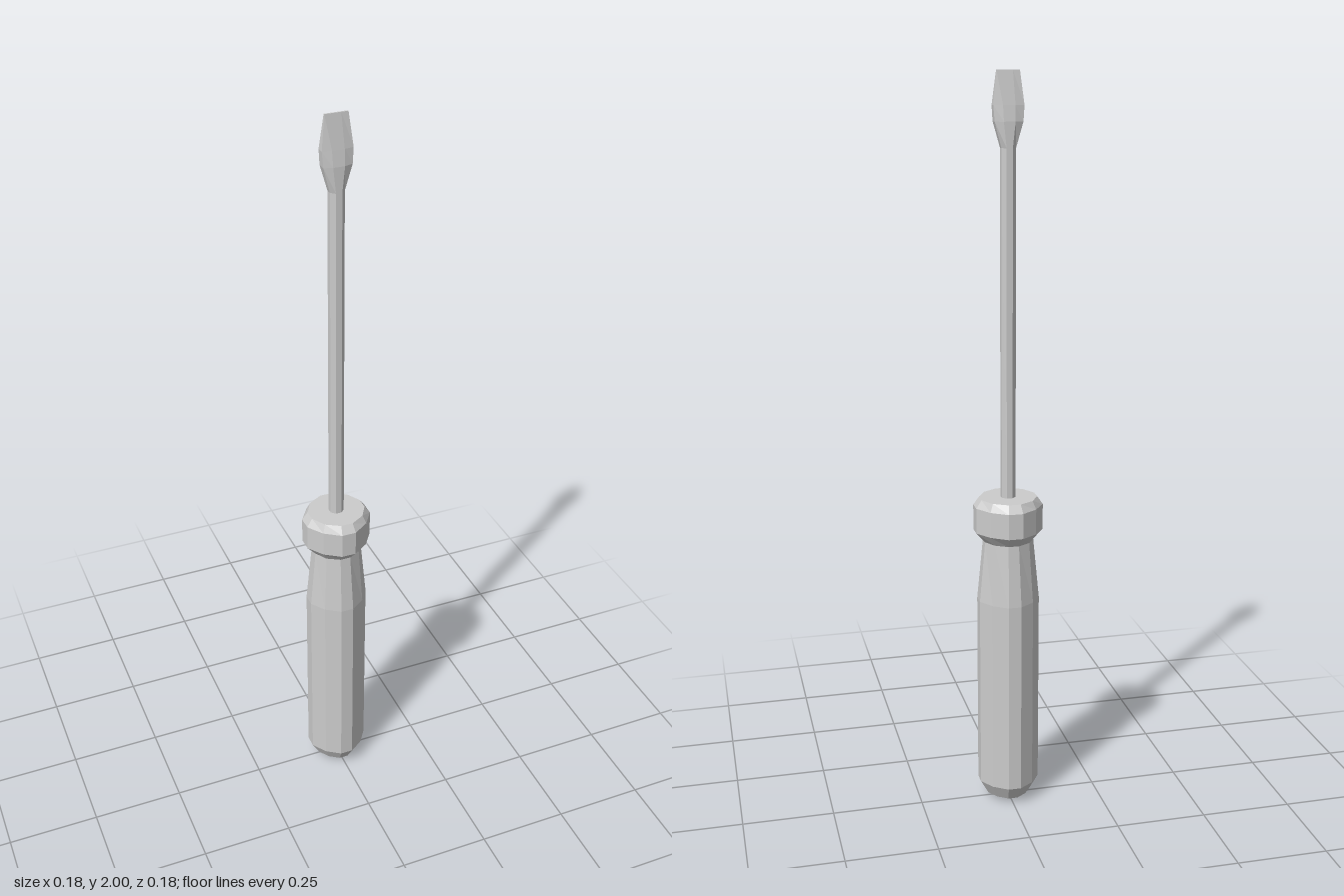
import * as THREE from 'three';

const material = new THREE.MeshStandardMaterial({ color: 0xcccccc, flatShading: true });

// Skin a stack of equal-length rings of [x, z] points, closed at both ends.
function loft(name, rings) {
  const pos = [], n = rings[0].pts.length;
  const at = (r, i) => { const [x, z] = r.pts[i % n]; return [x, r.y, z]; };
  const tri = (a, b, c) => pos.push(...a, ...b, ...c);
  for (let k = 0; k < rings.length - 1; k++) {
    const lo = rings[k], hi = rings[k + 1];
    for (let i = 0; i < n; i++) {
      tri(at(lo, i), at(hi, i), at(hi, i + 1));
      tri(at(lo, i), at(hi, i + 1), at(lo, i + 1));
    }
  }
  const first = rings[0], last = rings[rings.length - 1];
  for (let i = 0; i < n; i++) {
    tri([0, first.y, 0], at(first, i), at(first, i + 1));
    tri([0, last.y, 0], at(last, i + 1), at(last, i));
  }
  const geometry = new THREE.BufferGeometry();
  geometry.setAttribute('position', new THREE.Float32BufferAttribute(pos, 3));
  geometry.computeVertexNormals();
  const mesh = new THREE.Mesh(geometry, material);
  mesh.name = name;
  return mesh;
}

// Twelve-sided grip section: a flat on each axis and a softer corner between.
function gripRing(y, r, diagonal = 0.96) {
  const pts = [];
  for (let q = 0; q < 4; q++) {
    for (const [deg, s] of [[-12, 1.02], [12, 1.02], [45, diagonal]]) {
      const t = THREE.MathUtils.degToRad(q * 90 + deg);
      pts.push([r * s * Math.cos(t), r * s * Math.sin(t)]);
    }
  }
  return { y, pts };
}

// Eight-sided section given by its side corners (sx, sz) and face corners (fx, fz).
function bladeRing(y, sx, sz, fx, fz) {
  return {
    y,
    pts: [[sx, -sz], [sx, sz], [fx, fz], [-fx, fz], [-sx, sz], [-sx, -sz], [-fx, -fz], [fx, -fz]],
  };
}

export function createModel() {
  const model = new THREE.Group();
  model.name = 'screwdriver';

  // Grip with rounded butt and tapered neck
  model.add(loft('handle', [
    gripRing(0, 0.035), gripRing(0.014, 0.06), gripRing(0.055, 0.083),
    gripRing(0.6, 0.083), gripRing(0.77, 0.067, 1), gripRing(0.79, 0.067, 1),
  ]));

  // Flared collar at the top of the grip
  model.add(loft('collar', [
    gripRing(0.77, 0.068, 1), gripRing(0.798, 0.092), gripRing(0.868, 0.092), gripRing(0.89, 0.077, 1),
  ]));

  // Straight metal rod
  model.add(loft('shaft', [
    bladeRing(0.88, 0.019, 0.008, 0.008, 0.019),
    bladeRing(1.81, 0.019, 0.008, 0.008, 0.019),
  ]));

  // Flattened blade, widest midway and thinning to the tip
  model.add(loft('blade', [
    bladeRing(1.81, 0.019, 0.008, 0.008, 0.019),
    bladeRing(1.875, 0.037, 0.012, 0.015, 0.019),
    bladeRing(1.915, 0.04, 0.01, 0.016, 0.014),
    bladeRing(2, 0.03, 0.002, 0.012, 0.002),
  ]));

  return model;
}
